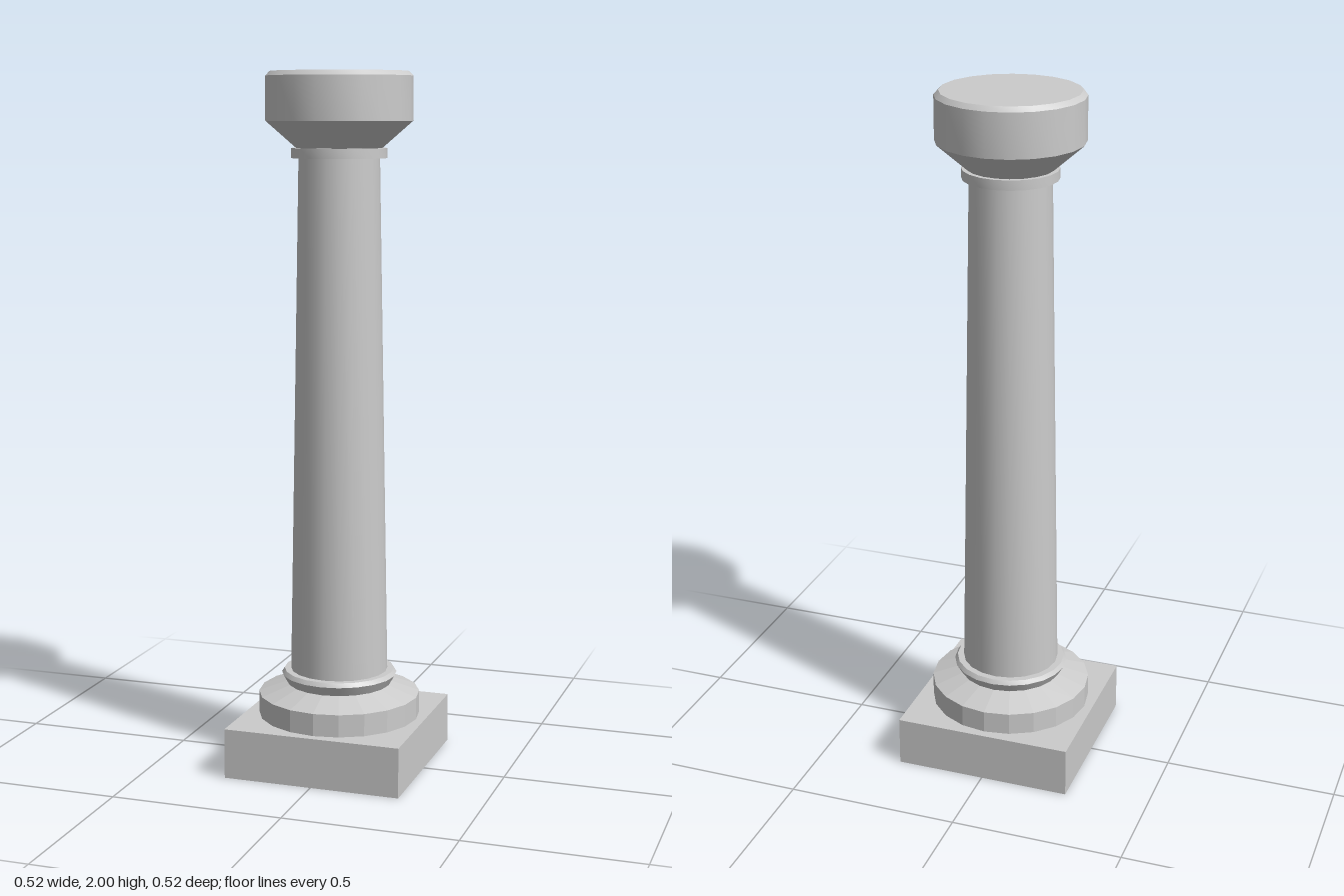
import * as THREE from 'three';
import { toCreasedNormals } from 'three/addons/utils/BufferGeometryUtils.js';

const SIDES = 20;
const smooth = new THREE.MeshStandardMaterial({ color: 0xcccccc });
const faceted = new THREE.MeshStandardMaterial({ color: 0xcccccc, flatShading: true });

export function createModel() {
  const group = new THREE.Group();
  group.name = 'column';

  const add = (name, geometry, material) => {
    const mesh = new THREE.Mesh(geometry, material);
    mesh.name = name;
    group.add(mesh);
    return mesh;
  };

  // Round part from [radius, height] pairs, bottom to top; rims stay sharp
  const turned = (name, profile, material = smooth) => {
    const points = profile.map(([r, y]) => new THREE.Vector2(r, y));
    const lathe = new THREE.LatheGeometry(points, SIDES);
    add(name, toCreasedNormals(lathe, 0.45), material);
  };

  // Square foot
  add('plinth', new THREE.BoxGeometry(0.52, 0.145, 0.52), smooth).position.y = 0.0725;

  // Round base with sloped top
  turned('baseDrum', [[0, 0.145], [0.235, 0.145], [0.235, 0.21], [0.15, 0.24], [0, 0.24]], faceted);

  // Flared ring under the shaft
  turned('baseRing', [[0.15, 0.237], [0.168, 0.268], [0.16, 0.28], [0, 0.28]]);

  // Tapered shaft
  turned('shaft', [[0.141, 0.275], [0.114, 1.79]]);

  // Neck ring
  turned('neckRing', [[0, 1.76], [0.135, 1.76], [0.135, 1.788], [0, 1.788]]);

  // Capital: flaring cone, then drum with bevelled top edge
  turned('capitalCone', [[0.118, 1.785], [0.207, 1.863]], faceted);
  turned('capitalDrum', [[0.207, 1.863], [0.207, 1.987], [0.194, 2], [0, 2]]);

  return group;
}
